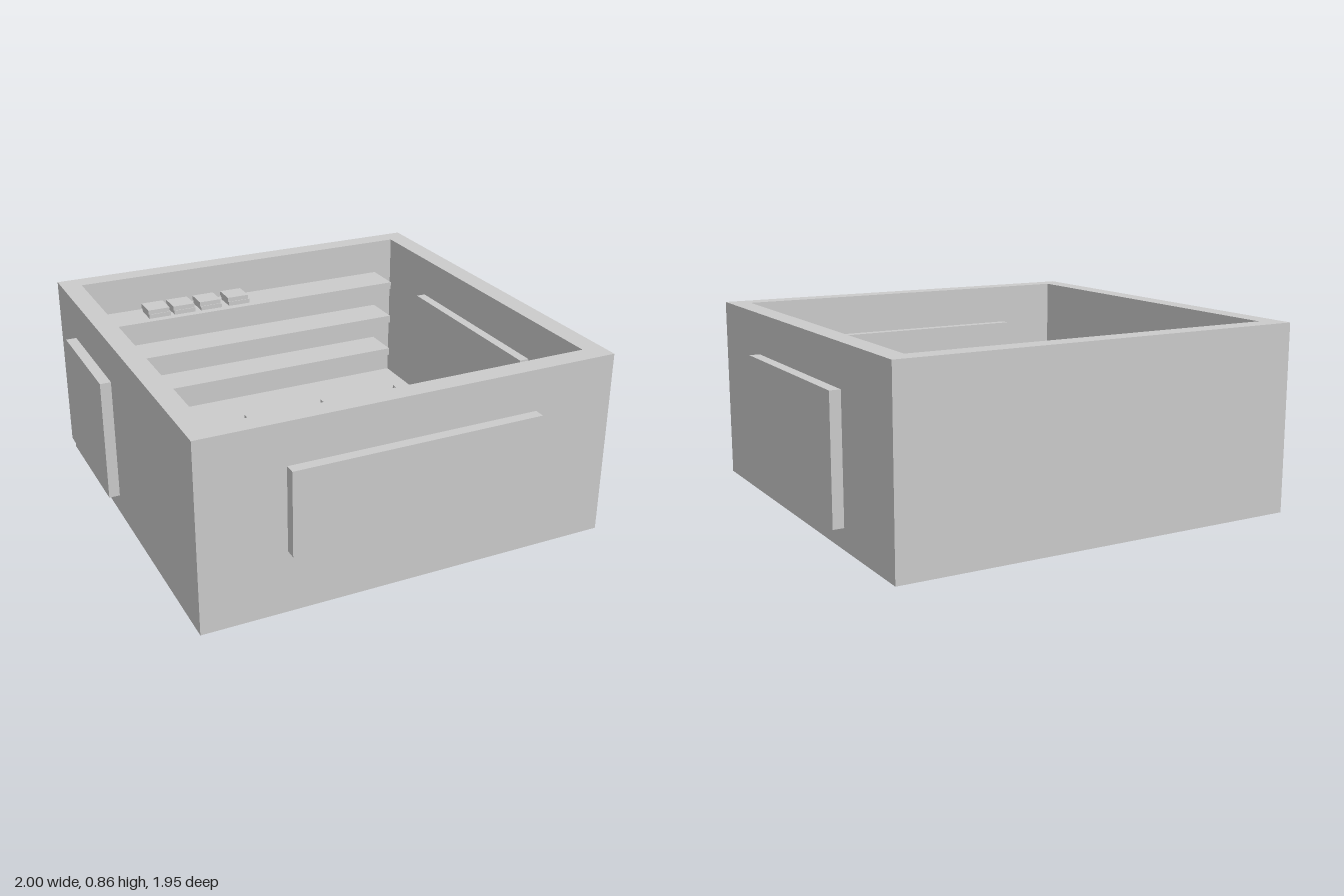
import * as THREE from 'three';

const mat = new THREE.MeshStandardMaterial({ color: 0xcccccc, flatShading: true });

// Box given by its minimum and maximum on each axis
function box(name, [x0, x1], [y0, y1], [z0, z1]) {
  const mesh = new THREE.Mesh(new THREE.BoxGeometry(x1 - x0, y1 - y0, z1 - z0), mat);
  mesh.position.set((x0 + x1) / 2, (y0 + y1) / 2, (z0 + z1) / 2);
  mesh.name = name;
  return mesh;
}

// Square outline centred on the origin
function square(half, PathType) {
  const p = new PathType();
  p.moveTo(-half, -half);
  p.lineTo(half, -half);
  p.lineTo(half, half);
  p.lineTo(-half, half);
  p.closePath();
  return p;
}

export function createModel() {
  const room = new THREE.Group();
  room.name = 'room';
  const height = 0.855, outer = 0.95, inner = 0.855, zMid = -0.025, floorTop = 0.095;

  // Walls: one open-topped square ring
  const outline = square(outer, THREE.Shape);
  outline.holes.push(square(inner, THREE.Path));
  const wallGeo = new THREE.ExtrudeGeometry(outline, { depth: height, bevelEnabled: false });
  wallGeo.rotateX(-Math.PI / 2);
  const walls = new THREE.Mesh(wallGeo, mat);
  walls.name = 'walls';
  walls.position.z = zMid;
  room.add(walls);

  // Floor slab inside the walls
  room.add(box('floor', [-inner, inner], [0, floorTop], [zMid - inner, zMid + inner]));

  // Door and window panels pass through the walls and stand proud on both sides
  room.add(
    box('frontWindow', [-0.57, 0.57], [0.285, 0.665], [0.785, 0.975]),
    box('leftDoor', [0.81, 1], [floorTop, 0.665], [-0.5, 0.45]),
    box('rightDoor', [-1, -0.81], [floorTop, 0.665], [-0.69, -0.12])
  );

  // Shelves along the back wall
  for (const top of [0.304, 0.494, 0.684]) {
    room.add(box('shelf', [-0.76, 0.76], [top - 0.038, top], [-0.88, -0.695]));
  }

  // Stacks of two slabs on the top shelf
  for (const x of [-0.515, -0.385, -0.245, -0.095]) {
    const stack = new THREE.Group();
    stack.name = 'stack';
    for (let i = 0; i < 2; i++) {
      const y = 0.684 + i * 0.021, d = -i * 0.004;
      stack.add(box('slab', [x - 0.053 + d, x + 0.057 + d], [y, y + 0.021], [-0.843 + d, -0.733 + d]));
    }
    room.add(stack);
  }

  // Upright dividers on the floor
  for (const x of [-0.38, 0, 0.38]) {
    room.add(box('divider', [x - 0.019, x + 0.019], [floorTop, 0.475], [0.07, 0.64]));
  }

  return room;
}
